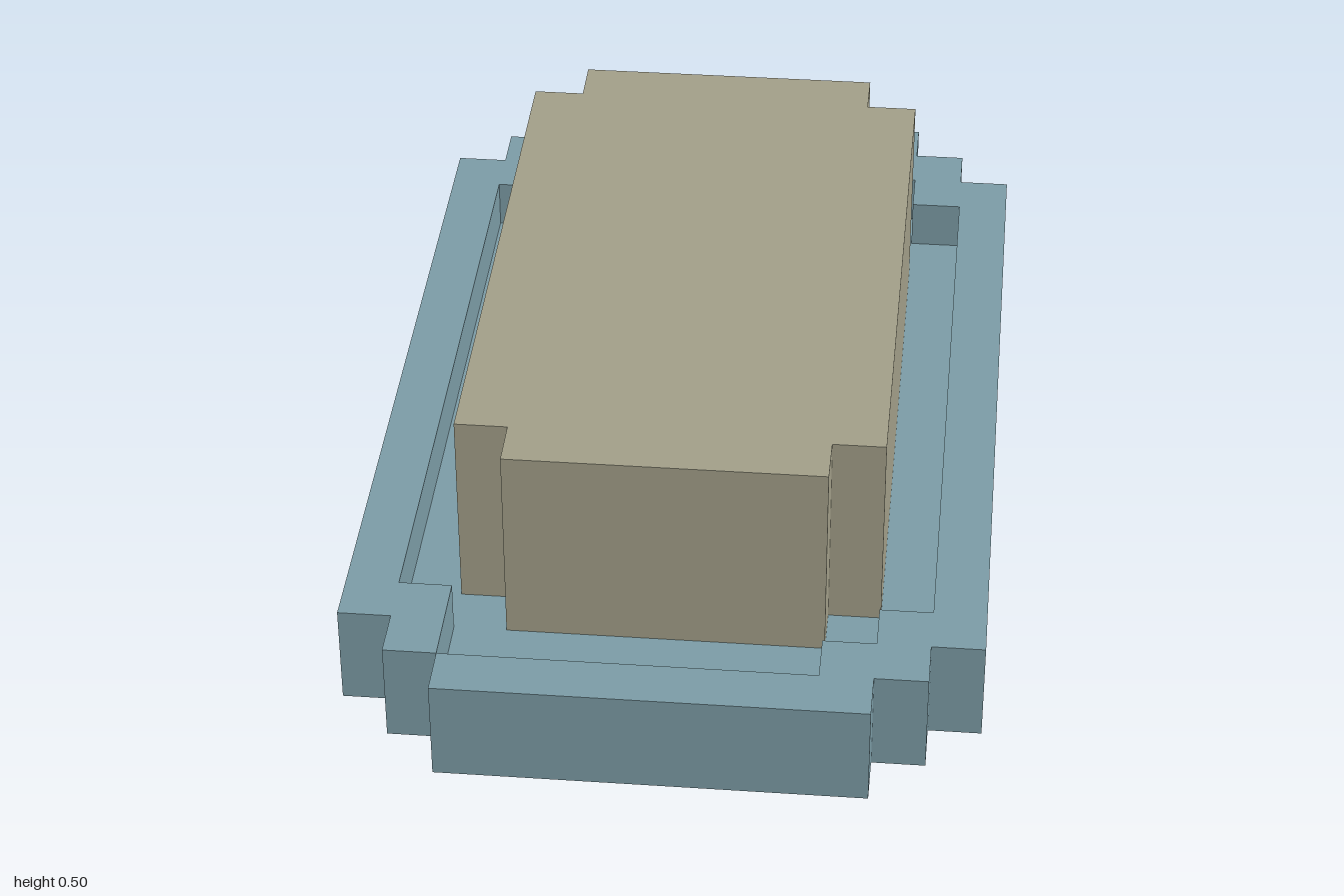
import * as THREE from 'three';

// Mirror one stepped corner into a full counter-clockwise outline
function steppedOutline(corner) {
  const back = [...corner].reverse();
  return [
    ...corner.map(([x, y]) => [x, y]),
    ...back.map(([x, y]) => [-x, y]),
    ...corner.map(([x, y]) => [-x, -y]),
    ...back.map(([x, y]) => [x, -y]),
  ];
}

// Extrude a plan outline upwards from a base height
function slab(name, outline, base, height, material) {
  const shape = new THREE.Shape(outline.map(([x, y]) => new THREE.Vector2(x, y)));
  const geometry = new THREE.ExtrudeGeometry(shape, { depth: height, bevelEnabled: false });
  geometry.rotateX(-Math.PI / 2);
  geometry.translate(0, base, 0);
  const mesh = new THREE.Mesh(geometry, material);
  mesh.name = name;
  return mesh;
}

export function createModel() {
  const blue = new THREE.MeshStandardMaterial({ color: 0x7b9ba5 });
  blue.name = 'greyBlue';
  const tan = new THREE.MeshStandardMaterial({ color: 0xa19e88 });
  tan.name = 'stone';

  const outer = steppedOutline([[0.6, 0.8], [0.5, 0.8], [0.5, 0.9], [0.4, 0.9], [0.4, 1]]);
  const inner = steppedOutline([[0.5, 0.7], [0.4, 0.7], [0.4, 0.8], [0.3, 0.8], [0.3, 0.9]]);
  const block = steppedOutline([[0.4, 0.6], [0.3, 0.6], [0.3, 0.7]]);

  // The front right corner of the recess lacks one step, so the rim
  // pinches there to a single edge shared by both outlines
  const rim = [
    ...outer.slice(0, 14),
    ...inner.slice(0, 12).reverse(),
    ...inner.slice(15).reverse(),
    ...outer.slice(13),
  ];

  const model = new THREE.Group();
  model.name = 'blockInTray';
  model.add(
    slab('trayFloor', outer, 0, 0.1, blue),
    slab('trayRim', rim, 0.1, 0.1, blue),
    slab('centralBlock', block, 0.1, 0.4, tan),
  );
  return model;
}
